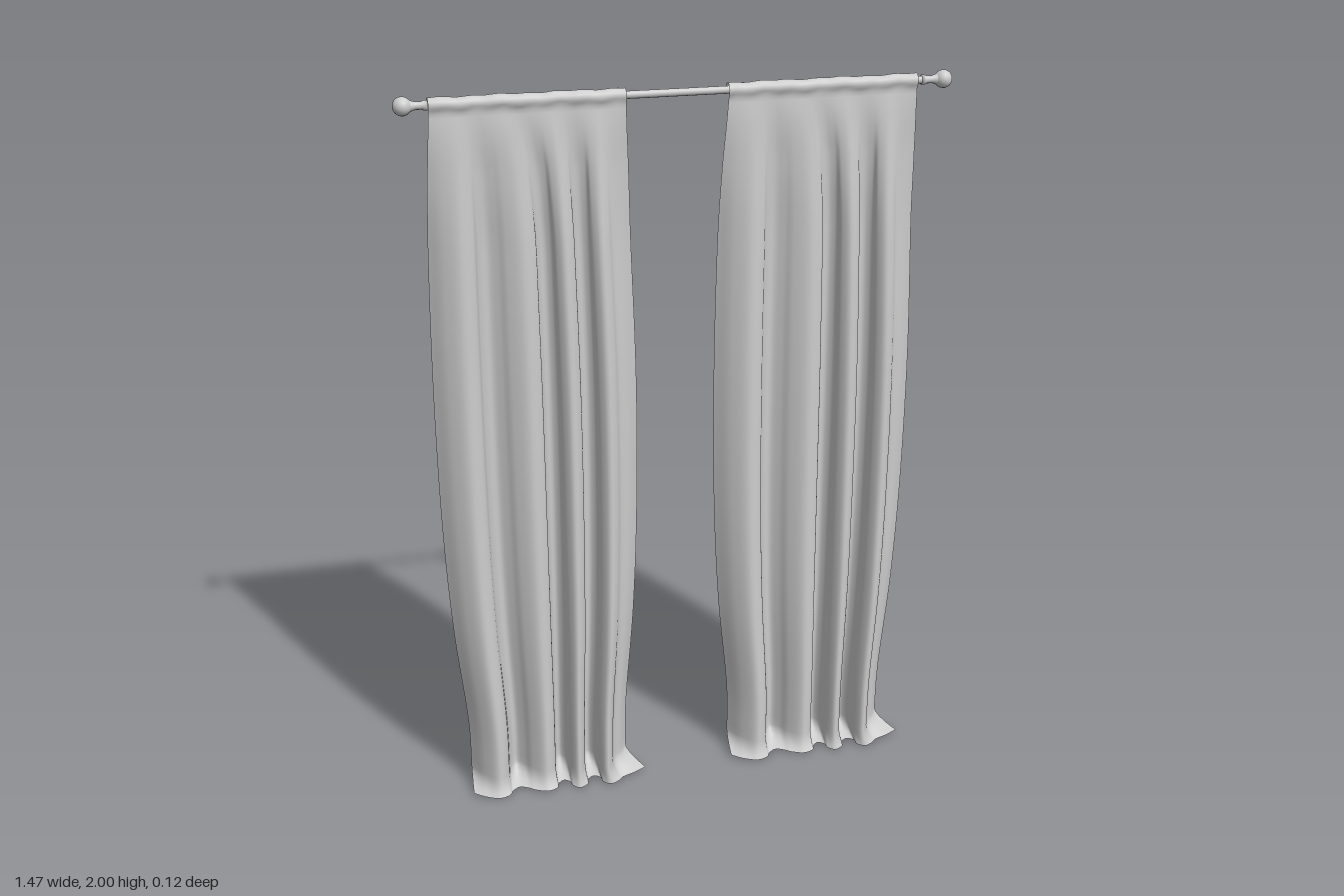
import * as THREE from 'three';

const ROD_Y = 1.977, ROD_Z = -0.043;

// height, outer-left x, outer-right x (from panel centre), back z, front z, fold strength
const LEVELS = [
  [1.955, -0.250, 0.250, -0.046, -0.028, 0.0],
  [1.90, -0.254, 0.251, -0.048, -0.021, 0.3],
  [1.80, -0.260, 0.256, -0.054, -0.012, 0.7],
  [1.60, -0.268, 0.263, -0.060, 0.003, 1.0],
  [1.20, -0.276, 0.274, -0.061, 0.019, 1.0],
  [0.80, -0.273, 0.270, -0.060, 0.031, 1.0],
  [0.50, -0.259, 0.256, -0.059, 0.041, 1.0],
  [0.20, -0.232, 0.230, -0.058, 0.050, 1.0],
  [0.06, -0.231, 0.226, -0.057, 0.054, 1.0],
];

// Pleat cross-section: position across the cloth, depth (0 back, 1 front)
const PLEATS = [
  [0, 0], [0.07, 0.52], [0.15, 0.82], [0.21, 0.65], [0.235, 0.3], [0.28, 0.06],
  [0.33, 0.25], [0.37, 0.52], [0.45, 0.8], [0.51, 0.62], [0.525, 0.25], [0.56, 0.02],
  [0.595, 0.22], [0.61, 0.65], [0.65, 0.93], [0.7, 0.66], [0.71, 0.25], [0.745, 0.04],
  [0.78, 0.25], [0.79, 0.7], [0.83, 1.0], [0.87, 0.82], [0.895, 0.55], [0.95, 0.32], [1, 0],
];

const lerp = THREE.MathUtils.lerp;
const COLS = 130;

// Smooth vertical interpolation of the level table
const levelCurves = [1, 2, 3, 4, 5].map((i) =>
  new THREE.CatmullRomCurve3(LEVELS.map((l) => new THREE.Vector3(l[0], l[i], 0)), false, 'centripetal'));
const pleatCurve = new THREE.CatmullRomCurve3(
  PLEATS.map(([u, w]) => new THREE.Vector3(u, w * 0.2, 0)), false, 'centripetal');

// Builds a smooth sheet from rows of points
function sheet(rows) {
  const pos = [], idx = [], n = rows[0].length;
  rows.forEach((r) => r.forEach((p) => pos.push(...p)));
  for (let r = 0; r < rows.length - 1; r++) {
    for (let c = 0; c < n - 1; c++) {
      const a = r * n + c, b = a + n;
      idx.push(a, b, a + 1, b, b + 1, a + 1);
    }
  }
  const g = new THREE.BufferGeometry();
  g.setAttribute('position', new THREE.Float32BufferAttribute(pos, 3));
  g.setIndex(idx);
  g.computeVertexNormals();
  return g;
}

function curtainGeometry(stretch, phase) {
  const cols = Array.from({ length: COLS + 1 }, (_, i) => {
    const s = i / COLS, p = pleatCurve.getPointAt(s);
    return { s, u: p.x, w: THREE.MathUtils.clamp(p.y / 0.2, 0, 1) };
  });
  const rows = [];

  // Sleeve wrapped over the rod, back to front, with slight puckers
  for (let i = 0; i <= 12; i++) {
    const a = lerp(-0.75, 0.72, i / 12) * Math.PI;
    rows.push(cols.map(({ s }) => {
      const r = 0.0185 + 0.002 * Math.sin(s * 31 + phase) * Math.sin(s * 13 + a);
      return [lerp(-0.25, 0.25, s) * stretch, ROD_Y + r * Math.cos(a), ROD_Z + r * Math.sin(a)];
    }));
  }

  // Hanging cloth with pleats that deepen downwards
  const drop = 44;
  for (let i = 0; i <= drop; i++) {
    const t = i / drop;
    const [L, R, B, F, K] = levelCurves.map((c) => c.getPoint(t));
    const k = THREE.MathUtils.clamp(K.y, 0, 1);
    rows.push(cols.map(({ s, u, w }) => [
      lerp(L.y, R.y, lerp(s, u, k)) * stretch, L.x, lerp(B.y, F.y, lerp(0.8, w, k))]));
  }

  // Hem kicking forward onto the floor
  for (const f of [0.25, 0.5, 0.75, 1]) {
    const [, l, r, b, front] = LEVELS[LEVELS.length - 1];
    rows.push(cols.map(({ u, w }) => {
      const flare = f * f * (0.045 * Math.pow(u, 8) - 0.006 * Math.pow(1 - u, 6));
      const z = lerp(lerp(b, front, w), 0.014 + 0.044 * w - 0.006 * Math.pow(u, 12), f * f);
      const y = lerp(0.06, 0.004 + 0.008 * (1 - w), f);
      return [(lerp(l, r, u) + flare) * stretch, y, z];
    }));
  }
  return sheet(rows);
}

export function createModel() {
  const model = new THREE.Group();
  const metal = new THREE.MeshStandardMaterial({ color: 0xcccccc });
  const cloth = new THREE.MeshStandardMaterial({ color: 0xcccccc, side: THREE.DoubleSide });

  // Curtain rod
  const rod = new THREE.Mesh(new THREE.CylinderGeometry(0.01, 0.01, 1.34, 20), metal);
  rod.name = 'rod';
  rod.rotation.z = Math.PI / 2;
  rod.position.set(0, ROD_Y, ROD_Z);
  model.add(rod);

  // Ball finials with flared necks
  const profile = [[0, 0], [0.013, 0], [0.013, 0.008], [0.01, 0.014], [0.01, 0.03], [0.014, 0.042]];
  for (let i = 0; i <= 14; i++) {
    const a = lerp(0.62, Math.PI, i / 14);
    profile.push([0.024 * Math.sin(a), 0.062 - 0.024 * Math.cos(a)]);
  }
  const finialGeometry = new THREE.LatheGeometry(
    profile.map(([x, y]) => new THREE.Vector2(Math.max(x, 0), y)), 24);
  for (const side of [-1, 1]) {
    const finial = new THREE.Mesh(finialGeometry, metal);
    finial.name = side > 0 ? 'leftFinial' : 'rightFinial';
    finial.rotation.z = -side * Math.PI / 2;
    finial.position.set(side * 0.651, ROD_Y, ROD_Z);
    model.add(finial);
  }

  // Two curtain panels
  for (const [name, x, stretch, phase] of [['rightCurtain', -0.401, 1, 0], ['leftCurtain', 0.377, 1.035, 2]]) {
    const curtain = new THREE.Mesh(curtainGeometry(stretch, phase), cloth);
    curtain.name = name;
    curtain.position.x = x;
    model.add(curtain);
  }
  return model;
}
